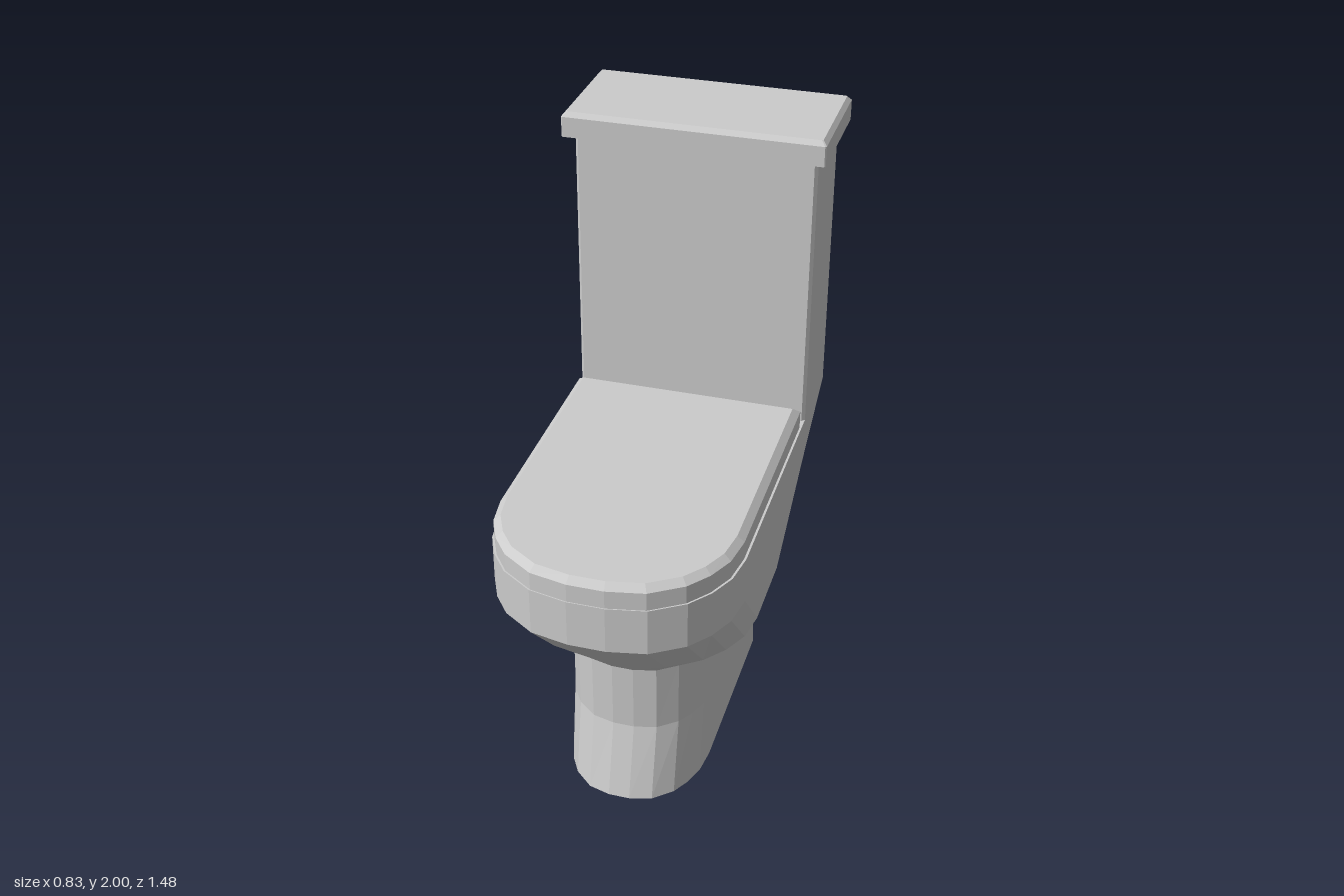
import * as THREE from 'three';

const material = new THREE.MeshStandardMaterial({ color: 0xcccccc, flatShading: true });

// Skin a stack of equal-length rings (bottom to top) and cap both ends.
function loft(name, rings) {
  const n = rings[0].length;
  const positions = [];
  const tri = (...pts) => pts.forEach((p) => positions.push(p.x, p.y, p.z));
  const centre = (ring) => ring.reduce((s, p) => s.add(p), new THREE.Vector3()).divideScalar(n);
  const bottom = rings[0], top = rings[rings.length - 1];
  const cBottom = centre(bottom), cTop = centre(top);
  for (let i = 0; i < n; i++) {
    const j = (i + 1) % n;
    for (let k = 0; k + 1 < rings.length; k++) {
      const lo = rings[k], hi = rings[k + 1];
      tri(lo[i], hi[i], lo[j]);
      tri(lo[j], hi[i], hi[j]);
    }
    tri(cBottom, bottom[i], bottom[j]);
    tri(cTop, top[j], top[i]);
  }
  const geometry = new THREE.BufferGeometry();
  geometry.setAttribute('position', new THREE.Float32BufferAttribute(positions, 3));
  geometry.computeVertexNormals();
  const mesh = new THREE.Mesh(geometry, material);
  mesh.name = name;
  return mesh;
}

// Mirror the +x half of an outline (back to front) into a full ring.
function mirrored(half, y) {
  const right = half.map(([x, z]) => new THREE.Vector3(x, y, z));
  const left = half.map(([x, z]) => new THREE.Vector3(-x, y, z)).reverse();
  return [...right, ...left];
}

// Rounded nose, from the side at depth z0 to the blunt tip at depth z1.
const NOSE = [[1, 0], [0.96, 0.3], [0.86, 0.54], [0.72, 0.74], [0.46, 0.93], [0.15, 1]];
const nose = (w, z0, z1) => NOSE.map(([u, v]) => [w * u, z0 + (z1 - z0) * v]);

// D-shaped section: back edge, back corner, start of the straight side, nose.
const section = ({ y, back, corner, side, w, z0, z1 }) =>
  mirrored([back, corner, [w, side], ...nose(w, z0, z1)], y);

// Rectangle with small chamfered corners.
const rectangle = (y, w, zb, zf, c) =>
  mirrored([[w - c, zb], [w, zb + c], [w, zf - c], [w - c, zf]], y);

export function createModel() {
  const group = new THREE.Group();
  group.name = 'toilet';

  // Waisted foot
  const neck = { y: 0.5, back: [0.15, -0.445], corner: [0.23, -0.425], side: 0.04, w: 0.23, z0: 0.15, z1: 0.405 };
  group.add(loft('pedestal', [
    { y: 0, back: [0.16, -0.46], corner: [0.23, -0.44], side: 0.04, w: 0.23, z0: 0.18, z1: 0.46 },
    { y: 0.26, back: [0.16, -0.42], corner: [0.23, -0.4], side: 0.04, w: 0.23, z0: 0.15, z1: 0.4 },
    neck,
  ].map(section)));

  // Bowl flaring forward, and sweeping back to meet the tank
  group.add(loft('bowl', [
    neck,
    { y: 0.645, back: [0.21, -0.51], corner: [0.285, -0.48], side: -0.05, w: 0.385, z0: 0.22, z1: 0.55 },
    { y: 0.845, back: [0.29, -0.608], corner: [0.335, -0.585], side: -0.39, w: 0.385, z0: 0.4, z1: 0.74 },
    { y: 1.0, back: [0.375, -0.695], corner: [0.385, -0.685], side: -0.66, w: 0.385, z0: 0.4, z1: 0.74 },
  ].map(section)));

  // Closed seat lid with a bevelled top edge
  const lidRing = (y, inset) => {
    const w = 0.378 - inset, zb = -0.35 + inset;
    return mirrored([[w, zb], ...nose(w, 0.4, 0.737 - inset)], y);
  };
  group.add(loft('seatLid', [lidRing(1.0, 0), lidRing(1.06, 0), lidRing(1.08, 0.022)]));

  // Water tank and its overhanging cover
  group.add(loft('tank', [1.0, 1.92].map((y) => rectangle(y, 0.385, -0.695, -0.39, 0.01))));
  group.add(loft('tankCover', [
    rectangle(1.92, 0.415, -0.74, -0.35, 0.004),
    rectangle(1.985, 0.415, -0.74, -0.35, 0.004),
    rectangle(2.0, 0.402, -0.727, -0.363, 0.004),
  ]));

  return group;
}
